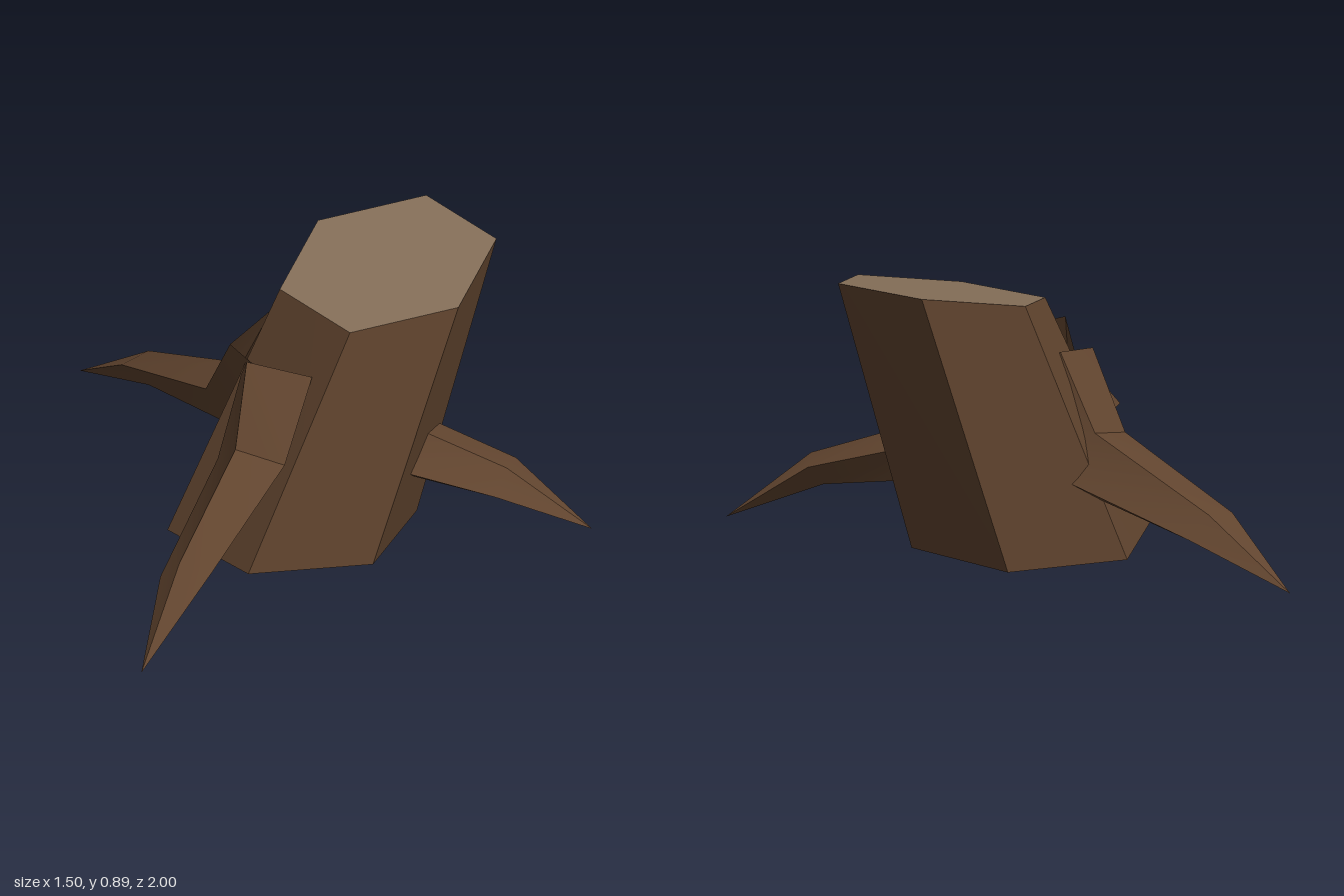
import * as THREE from 'three';
import { toCreasedNormals } from 'three/addons/utils/BufferGeometryUtils.js';

// Skin a stack of rings; open at both ends
function loft(rings, crease) {
  const pos = [];
  for (let r = 0; r < rings.length - 1; r++) {
    const a = rings[r], b = rings[r + 1], n = a.length;
    for (let i = 0; i < n; i++) {
      const j = (i + 1) % n;
      pos.push(...a[i], ...b[i], ...b[j]);
      // skip the collapsed triangle at a pointed end
      if (a[i] !== a[j]) pos.push(...a[i], ...b[j], ...a[j]);
    }
  }
  const g = new THREE.BufferGeometry();
  g.setAttribute('position', new THREE.Float32BufferAttribute(pos, 3));
  return toCreasedNormals(g, crease);
}

// Hexagon of six points, starting at the right-hand side (-x) and going round the front
function hexagon(cx, cz, radius, height) {
  return Array.from({ length: 6 }, (_, i) => {
    const a = Math.PI - (i * Math.PI) / 3;
    const x = cx + radius * Math.cos(a), z = cz + radius * Math.sin(a);
    return [x, height(x, z), z];
  });
}

// Root cross-sections: upper left, upper right, lower right, lower left
const rootRings = [
  [[-0.28, 0.625, 0.13], [-0.09, 0.585, 0.185], [-0.09, 0.47, 0.02], [-0.27, 0.5, -0.03]],
  [[-0.335, 0.395, 0.25], [-0.195, 0.36, 0.31], [-0.23, 0.2, 0.12], [-0.36, 0.28, 0.08]],
  [[-0.575, 0.24, 0.66], [-0.485, 0.225, 0.71], [-0.53, 0.15, 0.64], [-0.625, 0.173, 0.61]],
];

// The same root turned about the trunk, shifted, and ending at its own tip
function rootGeometry({ turn, shift, tip }) {
  const c = Math.cos(turn), s = Math.sin(turn);
  const rings = rootRings.map(ring => ring.map(([x, y, z]) =>
    [c * x - s * z + shift[0], y + shift[1], s * x + c * z + shift[2]]));
  rings.push([tip, tip, tip, tip]);
  return loft(rings, 0.6);
}

export function createModel() {
  const group = new THREE.Group();
  const bark = new THREE.MeshStandardMaterial({ color: 0x62452f, side: THREE.DoubleSide });
  bark.name = 'bark';
  const cutWood = new THREE.MeshStandardMaterial({ color: 0x88715a });
  cutWood.name = 'cut wood';

  const add = (name, geometry, material) => {
    const mesh = new THREE.Mesh(geometry, material);
    mesh.name = name;
    group.add(mesh);
  };

  // Leaning trunk, open underneath
  const base = hexagon(-0.115, -0.025, 0.38, () => 0);
  const top = hexagon(0.185, -0.07, 0.33, (x, z) => 0.815 + (x - 0.185) * 0.172 - (z + 0.07) * 0.16);
  add('trunk', loft([top, base], 0.1), bark);

  // Slanted saw cut
  const cut = new THREE.BufferGeometry();
  cut.setAttribute('position', new THREE.Float32BufferAttribute(top.flat(), 3));
  cut.setIndex([0, 1, 2, 0, 2, 3, 0, 3, 4, 0, 4, 5]);
  cut.computeVertexNormals();
  add('sawCut', cut, cutWood);

  // Three spreading roots
  const deg = THREE.MathUtils.degToRad;
  const roots = {
    frontRoot: { turn: 0, shift: [0, 0, 0], tip: [-0.75, 0.055, 1] },
    backRoot: { turn: deg(123), shift: [-0.19, 0, 0.105], tip: [-0.595, 0.055, -1] },
    sideRoot: { turn: deg(266), shift: [-0.203, 0.01, -0.3], tip: [0.745, 0.055, 0.29] },
  };
  for (const [name, spec] of Object.entries(roots)) add(name, rootGeometry(spec), bark);

  return group;
}
